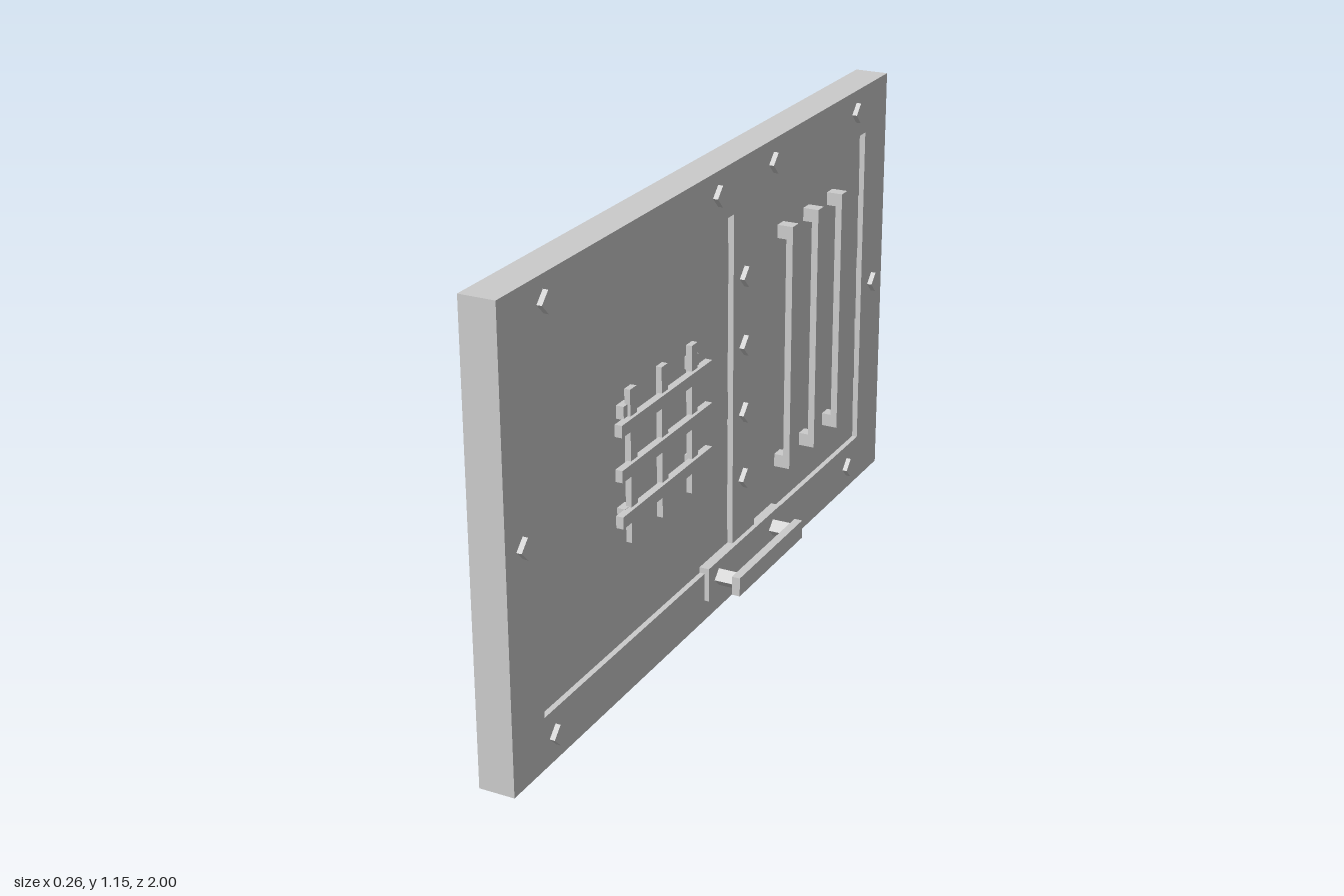
import * as THREE from 'three';

const mat = new THREE.MeshStandardMaterial({ color: 0xcccccc, flatShading: true });

export function createModel() {
  const root = new THREE.Group();
  root.name = 'panelledGate';

  const add = (geo, name) => {
    const mesh = new THREE.Mesh(geo, mat);
    mesh.name = name;
    root.add(mesh);
    return mesh;
  };

  // Box from its limits on one face of the gate (side = 1 or -1 mirrors x)
  const box = (name, side, x0, x1, y0, y1, z0, z1) => {
    const mesh = add(new THREE.BoxGeometry(x1 - x0, y1 - y0, z1 - z0), name);
    mesh.position.set(side * (x0 + x1) / 2, (y0 + y1) / 2, (z0 + z1) / 2);
    return mesh;
  };

  // Box with a diamond section, pointing along x
  const diamond = (name, side, x0, x1, y, z, size) => {
    const mesh = box(name, side, x0, x1, y - size / 2, y + size / 2, z - size / 2, z + size / 2);
    mesh.rotation.x = Math.PI / 4;
    return mesh;
  };

  // Closed rectangle outline
  const rect = (Type, a, b, c, d) => new Type([
    new THREE.Vector2(a, b), new THREE.Vector2(c, b),
    new THREE.Vector2(c, d), new THREE.Vector2(a, d),
  ]);

  // Outer frame with two openings
  const bottom = 0.13, top = 1.02;
  const openings = [[-0.065, 0.865], [-0.86, -0.19]]; // z ranges
  const outline = rect(THREE.Shape, -1, 0, 1, 1.15);
  for (const [z0, z1] of openings) outline.holes.push(rect(THREE.Path, -z1, bottom, -z0, top));
  const frame = new THREE.ExtrudeGeometry(outline, { depth: 0.09, bevelEnabled: false });
  frame.translate(0, 0, -0.045).rotateY(Math.PI / 2);
  add(frame, 'frame');

  // Five horizontal planks per opening, slightly thicker at the lower edge
  const plankH = (top - bottom) / 5;
  for (const [z0, z1] of openings) {
    for (let i = 0; i < 5; i++) {
      const geo = new THREE.BoxGeometry(0.06, plankH, z1 - z0);
      const p = geo.attributes.position;
      for (let v = 0; v < p.count; v++) {
        p.setX(v, Math.sign(p.getX(v)) * (p.getY(v) > 0 ? 0.029 : 0.031));
      }
      geo.computeVertexNormals();
      add(geo, 'plank').position.set(0, bottom + (i + 0.5) * plankH, (z0 + z1) / 2);
    }
  }

  // Stud positions as [z, y]
  const studs = [
    [0.82, 1.09], [0.02, 1.09], [-0.285, 1.09], [-0.795, 1.09],
    [0.93, 0.575], [-0.93, 0.575], [0.82, 0.065], [-0.79, 0.065],
    [-0.125, 0.845], [-0.125, 0.665], [-0.125, 0.485], [-0.125, 0.305],
  ];

  for (const side of [1, -1]) {
    for (const [z, y] of studs) diamond('stud', side, 0.04, 0.058, y, z, 0.038);

    // Long upright bars on feet
    for (const z of [-0.36, -0.515, -0.665]) {
      box('longBar', side, 0.055, 0.073, 0.245, 0.91, z - 0.017, z + 0.017);
      for (const y of [0.245, 0.875]) {
        box('longBarFoot', side, 0.025, 0.06, y, y + 0.035, z - 0.017, z + 0.017);
      }
    }

    // Grate of crossed bars on short standoffs
    for (const z of [0.465, 0.315, 0.165]) {
      box('grateUpright', side, 0.042, 0.057, 0.39, 0.77, z - 0.015, z + 0.015);
    }
    for (const y of [0.69, 0.58, 0.465]) {
      box('grateCrossbar', side, 0.047, 0.0655, y - 0.015, y + 0.015, 0.09, 0.535);
    }
    for (const z of [0.48, 0.148]) {
      for (const y of [0.718, 0.465]) {
        box('grateStandoff', side, 0.025, 0.05, y - 0.016, y + 0.016, z - 0.018, z + 0.018);
      }
    }

    // Handle: base plate, two diamond arms and a flat grip
    box('handlePlate', side, 0.025, 0.057, 0.055, 0.145, -0.325, 0.09);
    for (const z of [0.035, -0.28]) diamond('handleArm', side, 0.05, 0.12, 0.1, z, 0.033);
    box('handleGrip', side, 0.108, 0.13, 0.075, 0.125, -0.305, 0.065);
  }

  return root;
}
